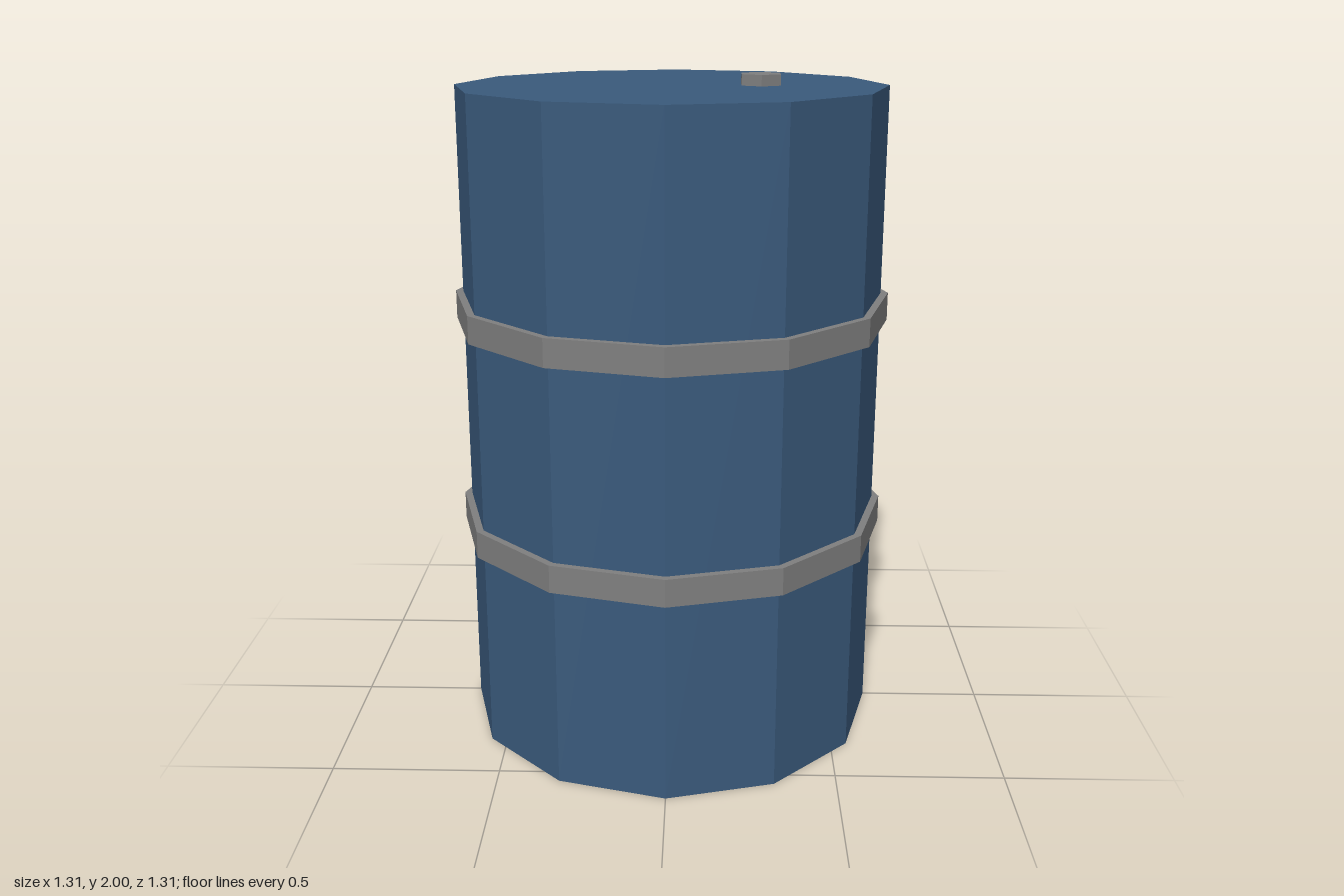
import * as THREE from 'three';

export function createModel() {
  const group = new THREE.Group();
  const blue = new THREE.MeshStandardMaterial({ color: 0x3a5a7c, flatShading: true });
  const steel = new THREE.MeshStandardMaterial({ color: 0x7f7f7f, flatShading: true });

  // Upright prism between two heights
  function prism(name, radius, y0, y1, sides, material, x = 0) {
    const mesh = new THREE.Mesh(new THREE.CylinderGeometry(radius, radius, y1 - y0, sides), material);
    mesh.name = name;
    mesh.position.set(x, (y0 + y1) / 2, 0);
    group.add(mesh);
  }

  // Twelve-sided drum
  prism('barrelBody', 0.633, 0, 1.968, 12, blue);

  // Two raised hoops
  prism('lowerHoop', 0.655, 0.615, 0.698, 12, steel);
  prism('upperHoop', 0.655, 1.271, 1.354, 12, steel);

  // Hexagonal filler plug on the lid
  prism('fillerPlug', 0.065, 1.95, 2, 6, steel, 0.26);

  return group;
}
